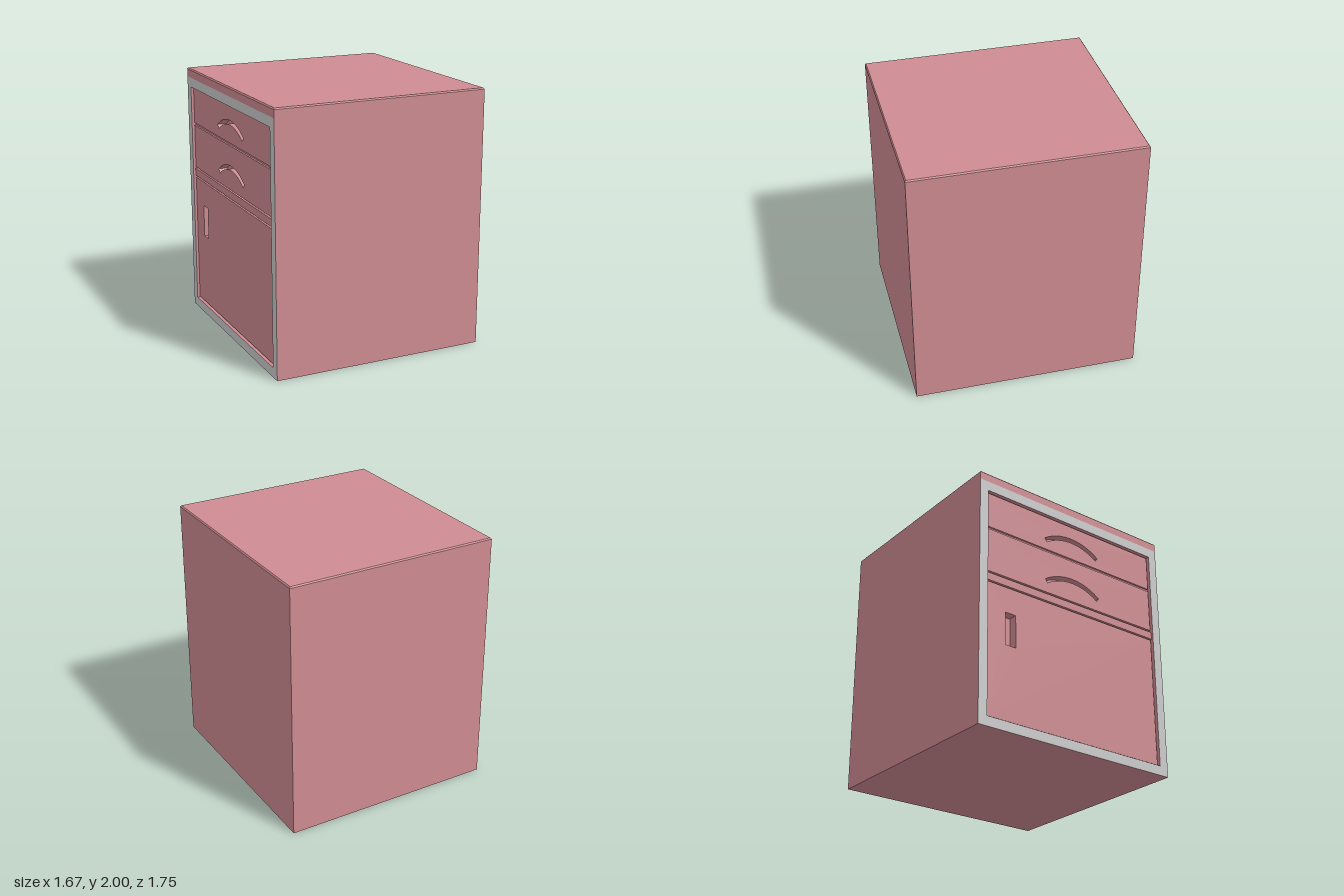
import * as THREE from 'three';

const W = 1.675, D = 1.75, H = 2;
const TOP = 0.07;      // worktop thickness
const FACE = -W / 2;   // plane of the drawer side (-x)
const INNER = -0.75;   // plane of the solid body behind the fronts

const pink = new THREE.MeshStandardMaterial({ color: 0xce8c92 });
const grey = new THREE.MeshStandardMaterial({ color: 0xcccccc });

function add(group, name, geometry, material = pink) {
  const mesh = new THREE.Mesh(geometry, material);
  mesh.name = name;
  group.add(mesh);
  return mesh;
}

// Rectangle in the drawer plane: horizontal = world z, vertical = world y
function rect(z0, z1, y0, y1, Type = THREE.Shape) {
  return new Type([[z0, y0], [z1, y0], [z1, y1], [z0, y1]].map(([z, y]) => new THREE.Vector2(z, y)));
}

// Extrude a shape from x = from outwards to x = to (towards -x)
function slab(shape, from, to) {
  const g = new THREE.ExtrudeGeometry(shape, { depth: from - to, bevelEnabled: false, curveSegments: 20 });
  return g.rotateY(-Math.PI / 2).translate(from, 0, 0);
}

// Curved finger groove: an arched band of constant thickness
function archHole(y) {
  const half = 0.24, rise = 0.075, t = 0.035, n = 20;
  const r = (half * half + rise * rise) / (2 * rise);
  const a = Math.asin(half / r), cy = y + rise - r;
  const pts = [];
  for (const [rad, dir] of [[r + t, 1], [r, -1]]) {
    for (let i = 0; i <= n; i++) {
      const k = dir * a * (2 * i / n - 1);
      pts.push(new THREE.Vector2(rad * Math.sin(k), cy + rad * Math.cos(k)));
    }
  }
  return new THREE.Path(pts);
}

export function createModel() {
  const group = new THREE.Group();
  const bodyH = H - TOP;

  // Solid body behind the fronts
  const bodyW = W / 2 - INNER;
  add(group, 'body', new THREE.BoxGeometry(bodyW, bodyH, D).translate(INNER + bodyW / 2, bodyH / 2, 0));

  // Frame round the opening: grey front edge, coloured walls
  const zIn = D / 2 - 0.075, yLow = 0.075, yHigh = 1.855;
  const frame = rect(-D / 2, D / 2, 0, bodyH);
  frame.holes.push(rect(-zIn, zIn, yLow, yHigh, THREE.Path));
  add(group, 'frontFrame', slab(frame, INNER, FACE), [grey, pink]);

  // Worktop with a small chamfer round its upper edge
  let top = new THREE.BoxGeometry(W, TOP, D, 1, 7, 1);
  const p = top.attributes.position;
  for (let i = 0; i < p.count; i++) {
    if (p.getY(i) > TOP / 2 - 0.001) {
      p.setX(i, p.getX(i) - Math.sign(p.getX(i)) * 0.008);
      p.setZ(i, p.getZ(i) - Math.sign(p.getZ(i)) * 0.008);
    }
  }
  top = top.toNonIndexed();
  top.computeVertexNormals();
  add(group, 'worktop', top.translate(0, H - TOP / 2, 0));

  // Recessed fronts, each with its own finger groove
  const front = FACE + 0.018, gap = 0.01;
  const fronts = [
    ['upperDrawer', 1.565, yHigh - gap, archHole(1.63)],
    ['lowerDrawer', 1.2, 1.545, archHole(1.28)],
    ['door', yLow + gap, 1.115, rect(-0.63, -0.54, 0.66, 0.915, THREE.Path)],
  ];
  for (const [name, y0, y1, hole] of fronts) {
    const shape = rect(-zIn + gap, zIn - gap, y0, y1);
    shape.holes.push(hole);
    add(group, name, slab(shape, INNER, front));
  }

  // Rails between the fronts
  for (const [name, y0, y1] of [['drawerRail', 1.545, 1.565], ['middleRail', 1.128, 1.187]]) {
    add(group, name, slab(rect(-zIn, zIn, y0, y1), INNER, name === 'middleRail' ? front : front + 0.015));
  }
  return group;
}
